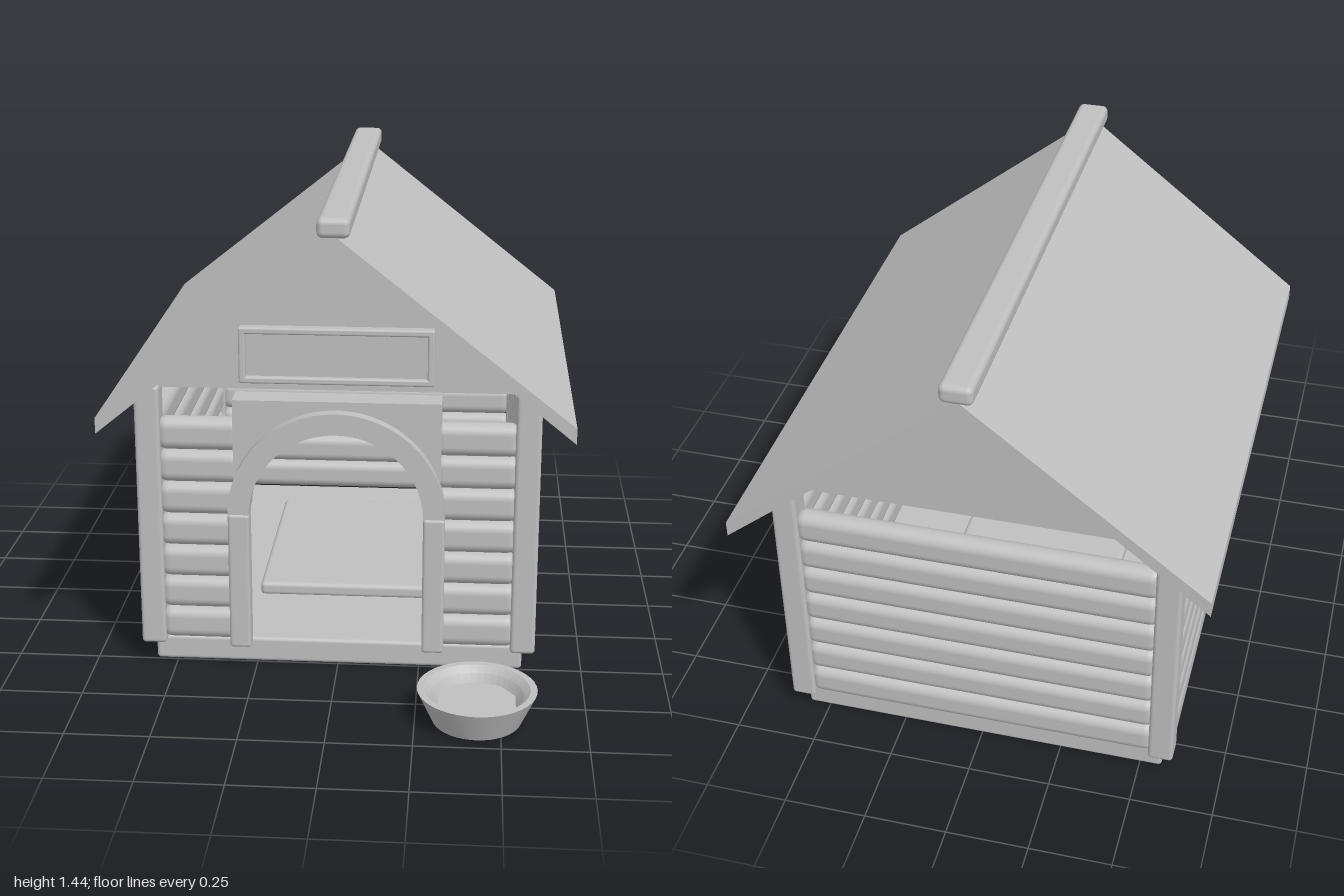
import * as THREE from 'three';
import { toCreasedNormals } from 'three/addons/utils/BufferGeometryUtils.js';
import { RoundedBoxGeometry } from 'three/addons/geometries/RoundedBoxGeometry.js';

export function createModel() {
  const model = new THREE.Group();
  model.name = 'kennel';
  const grey = new THREE.MeshStandardMaterial({ color: 0xbfbfbf });
  grey.name = 'plain grey';

  const add = (name, geometry, parent = model) => {
    const mesh = new THREE.Mesh(geometry, grey);
    mesh.name = name;
    parent.add(mesh);
    return mesh;
  };
  const group = (name) => {
    const g = new THREE.Group();
    g.name = name;
    model.add(g);
    return g;
  };
  // Rounded box given by its min and max corners
  const box = (name, [x0, y0, z0], [x1, y1, z1], radius, parent) => {
    const g = new RoundedBoxGeometry(x1 - x0, y1 - y0, z1 - z0, 3, radius);
    g.translate((x0 + x1) / 2, (y0 + y1) / 2, (z0 + z1) / 2);
    return add(name, g, parent);
  };
  // Shape in the xy plane extruded from z0 to z1
  const slab = (name, shape, z0, z1, parent) => {
    const g = new THREE.ExtrudeGeometry(shape, { depth: z1 - z0, bevelEnabled: false, curveSegments: 32 });
    g.translate(0, 0, z0);
    return add(name, toCreasedNormals(g, 0.5), parent);
  };
  const polygon = (points) => new THREE.Shape(points.map(([x, y]) => new THREE.Vector2(x, y)));

  const FRONT = 0.5, BACK = -0.85, SIDE = 0.567;

  // Floor and sleeping mat
  box('floor', [-0.567, 0, BACK], [0.567, 0.08, FRONT], 0.012);
  box('mat', [-0.28, 0.075, -0.6], [0.28, 0.12, 0.17], 0.015);

  // Corner posts
  const posts = group('cornerPosts');
  for (const x of [-SIDE, SIDE])
    for (const z of [BACK, FRONT])
      box('cornerPost', [x - 0.038, 0.07, z - 0.04], [x + 0.038, 0.902, z + 0.04], 0.012, posts);

  // Log walls, with the front logs split by the doorway
  const logs = group('logWalls');
  const rows = 7, pitch = 0.1025, half = 0.034;
  for (let i = 0; i < rows; i++) {
    const y0 = 0.083 + i * pitch, y1 = y0 + pitch;
    for (const x of [-SIDE, SIDE])
      box('sideLog', [x - half, y0, BACK + 0.02], [x + half, y1, FRONT - 0.02], 0.033, logs);
    box('backLog', [-0.545, y0, BACK - half], [0.545, y1, BACK + half], 0.033, logs);
    box('frontLogRight', [-0.545, y0, FRONT - half], [-0.285, y1, FRONT + half], 0.033, logs);
    box('frontLogLeft', [0.285, y0, FRONT - half], [0.545, y1, FRONT + half], 0.033, logs);
  }

  // Door surround: board above the opening, arch and jambs
  const door = group('doorSurround');
  const springY = 0.515;
  const board = polygon([[-0.265, springY], [-0.31, springY], [-0.31, 0.865], [0.31, 0.865], [0.31, springY], [0.265, springY]]);
  board.absarc(0, springY, 0.265, 0, Math.PI, false);
  slab('doorBoard', board, 0.448, 0.537, door);
  const arch = new THREE.Shape();
  arch.absarc(0, springY, 0.325, 0, Math.PI, false);
  arch.absarc(0, springY, 0.26, Math.PI, 0, true);
  slab('doorArch', arch, 0.525, 0.575, door);
  for (const s of [-1, 1]) {
    const x = s * 0.2925;
    box('doorJamb', [x - 0.0325, 0.083, 0.52], [x + 0.0325, springY + 0.003, 0.58], 0.01, door);
  }

  // Gables
  const gable = polygon([[-0.565, 0.895], [0.565, 0.895], [0, 1.355]]);
  slab('frontGable', gable, FRONT - 0.025, FRONT + 0.015);
  slab('backGable', gable, BACK - 0.015, BACK + 0.025);

  // Blank name board with raised frame
  const sign = group('signBoard');
  box('signPanel', [-0.28, 0.93, 0.505], [0.28, 1.08, 0.53], 0.004, sign);
  for (const [y0, y1] of [[0.92, 0.94], [1.07, 1.09]])
    box('signRail', [-0.287, y0, 0.505], [0.287, y1, 0.547], 0.006, sign);
  for (const x of [-0.277, 0.277])
    box('signStile', [x - 0.01, 0.92, 0.505], [x + 0.01, 1.09, 0.547], 0.006, sign);

  // Pitched roof and ridge beam
  slab('roof', polygon([[0, 1.355], [0.7, 0.785], [0.7, 0.833], [0, 1.387], [-0.7, 0.833], [-0.7, 0.785]]), -0.99, 0.637);
  box('ridgeBeam', [-0.048, 1.378, -1], [0.048, 1.436, 0.648], 0.018);

  // Food bowl
  const bowl = group('bowl');
  bowl.position.set(0.43, 0, 0.825);
  const profile = [[0, 0], [0.13, 0], [0.175, 0.097], [0.155, 0.097], [0.135, 0.08], [0.115, 0.03], [0, 0.03]]
    .map(([r, y]) => new THREE.Vector2(r, y));
  add('bowlShell', toCreasedNormals(new THREE.LatheGeometry(profile, 40), 0.5), bowl);
  const food = new THREE.CylinderGeometry(0.118, 0.11, 0.03, 10);
  food.translate(0, 0.043, 0);
  add('bowlFilling', toCreasedNormals(food, 0.5), bowl);

  return model;
}
